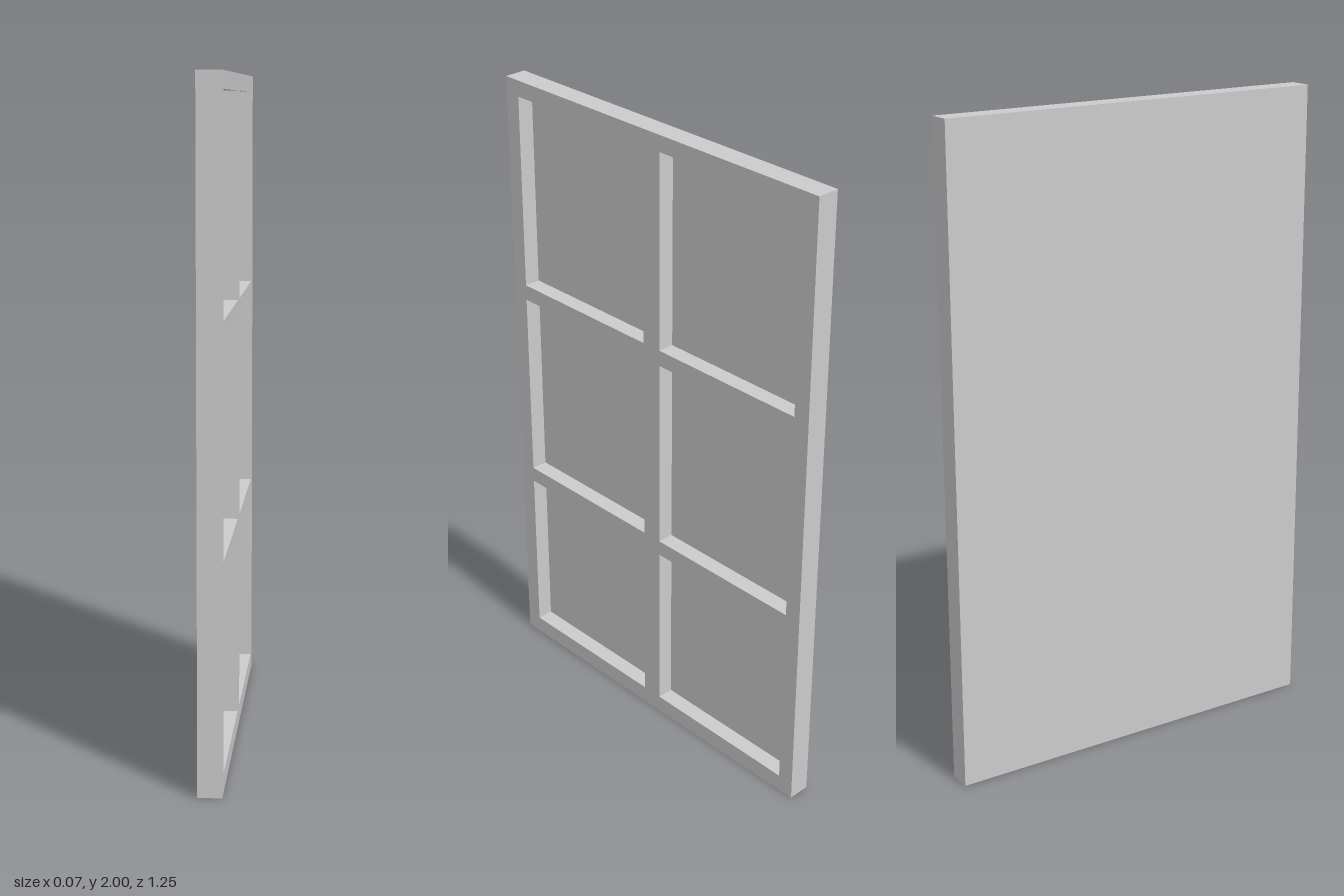
import * as THREE from 'three';

const HALF_WIDTH = 0.623, HEIGHT = 2, HALF_THICK = 0.035, RECESS = 0.052;

// Rectangle corners, counter-clockwise
const rect = (x0, y0, x1, y1) =>
  [[x0, y0], [x1, y0], [x1, y1], [x0, y1]].map(([x, y]) => new THREE.Vector2(x, y));

export function createModel() {
  const group = new THREE.Group();
  const material = new THREE.MeshStandardMaterial({ color: 0xcccccc, flatShading: true });

  // Lattice frame: outer border, centre stile and two rails around six openings
  const shape = new THREE.Shape(rect(-HALF_WIDTH, 0, HALF_WIDTH, HEIGHT));
  const rows = [[0.055, 0.615], [0.665, 1.283], [1.333, 1.95]];
  const columns = [[-0.57, -0.034], [0.034, 0.57]];
  for (const [y0, y1] of rows)
    for (const [x0, x1] of columns)
      shape.holes.push(new THREE.Path(rect(x0, y0, x1, y1).reverse()));
  const frameGeometry = new THREE.ExtrudeGeometry(shape, { depth: RECESS, bevelEnabled: false });
  frameGeometry.rotateY(Math.PI / 2);
  const frame = new THREE.Mesh(frameGeometry, material);
  frame.name = 'latticeFrame';
  frame.position.x = HALF_THICK - RECESS;
  group.add(frame);

  // Solid backing that closes the openings on the -x side
  const backThick = 2 * HALF_THICK - RECESS;
  const back = new THREE.Mesh(new THREE.BoxGeometry(backThick, HEIGHT, 2 * HALF_WIDTH), material);
  back.name = 'backPanel';
  back.position.set(-HALF_THICK + backThick / 2, HEIGHT / 2, 0);
  group.add(back);

  return group;
}
